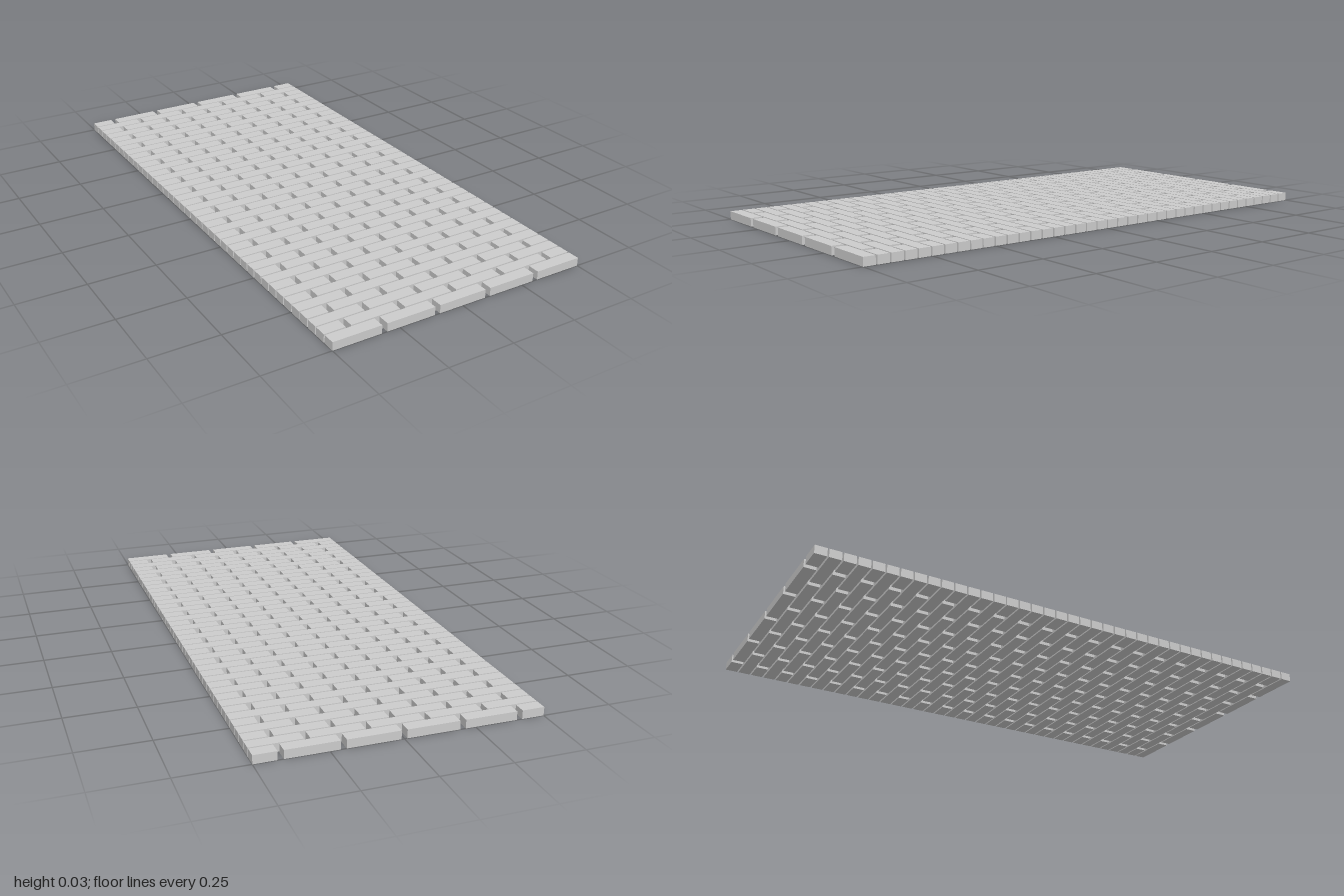
import * as THREE from 'three';

const ROWS = 40, HALF_WIDTH = 0.5, HEIGHT = 0.031;
const BRICK_DEPTH = 0.0443, ROW_PITCH = (2 - BRICK_DEPTH) / (ROWS - 1);
const BRICK_PITCH = 0.205, END_GAP = 0.02;

export function createModel() {
  const paving = new THREE.Group();
  paving.name = 'brickPaving';
  const material = new THREE.MeshStandardMaterial({ color: 0xcccccc });
  const box = new THREE.BoxGeometry(1, 1, 1);

  // One course of bricks, trimmed flush at both side edges
  function course(offset, z) {
    const row = new THREE.Group();
    row.name = 'brickCourse';
    for (let i = -3; i <= 3; i++) {
      const centre = i * BRICK_PITCH + offset;
      const half = (BRICK_PITCH - END_GAP) / 2;
      const x0 = Math.max(centre - half, -HALF_WIDTH);
      const x1 = Math.min(centre + half, HALF_WIDTH);
      if (x1 - x0 < 0.02) continue;
      const brick = new THREE.Mesh(box, material);
      brick.name = 'brick';
      brick.scale.set(x1 - x0, HEIGHT, BRICK_DEPTH);
      brick.position.set((x0 + x1) / 2, HEIGHT / 2, 0);
      row.add(brick);
    }
    row.position.z = z;
    return row;
  }

  // Running bond: alternate courses shift by half a brick, back to front
  for (let r = 0; r < ROWS; r++) {
    const z = -1 + BRICK_DEPTH / 2 + r * ROW_PITCH;
    paving.add(course(r % 2 === 0 ? BRICK_PITCH / 2 : 0, z));
  }
  return paving;
}
